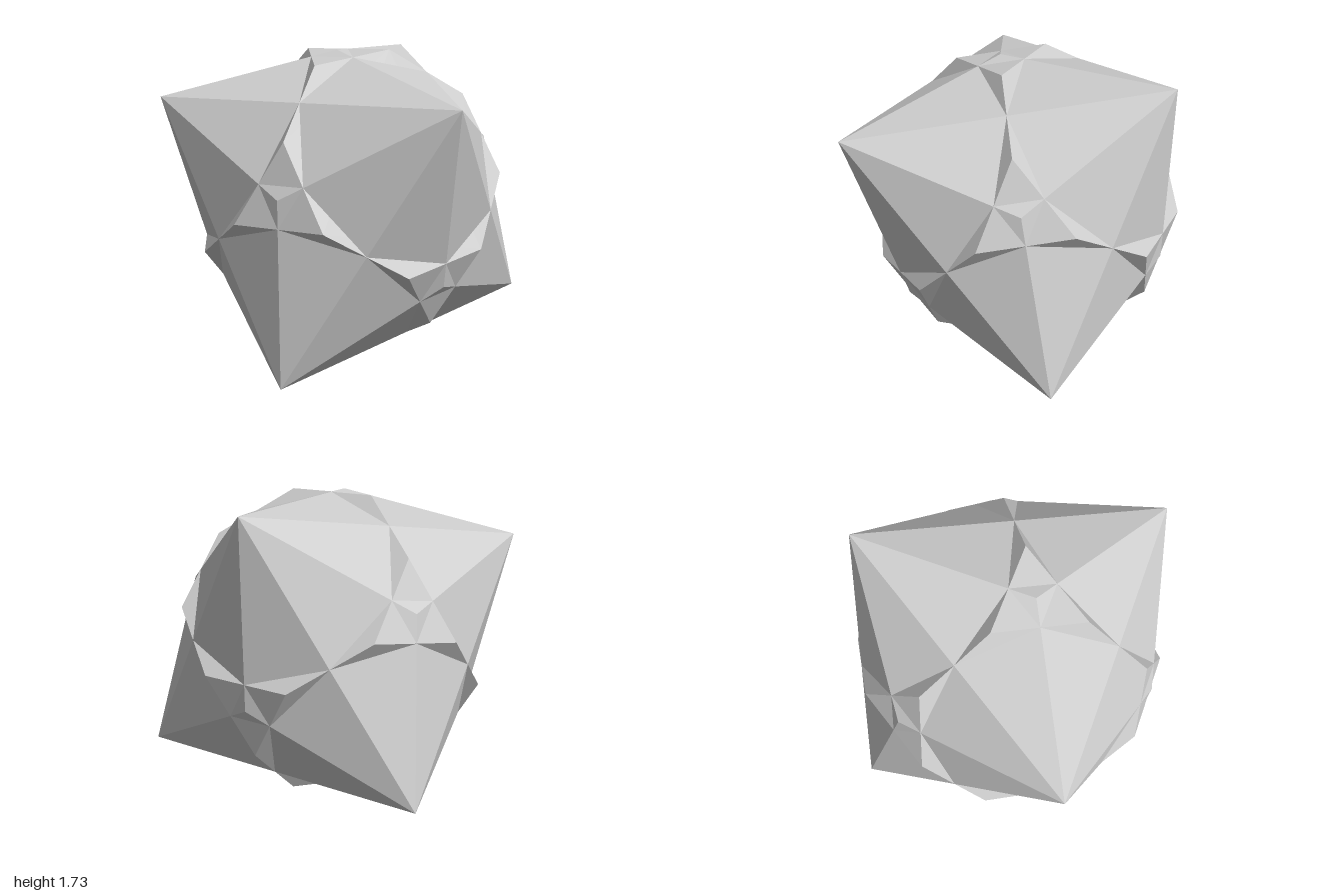
import * as THREE from 'three';
import { ConvexGeometry } from 'three/addons/geometries/ConvexGeometry.js';

const K = Math.SQRT2 - 1;
const SIGNS = [-1, 1];

// All sign changes of one point, without duplicates for zero coordinates
function mirrored(x, y, z) {
  const points = [];
  for (const i of x ? SIGNS : [1])
    for (const j of y ? SIGNS : [1])
      for (const k of z ? SIGNS : [1]) points.push(new THREE.Vector3(i * x, j * y, k * z));
  return points;
}

// The three cyclic positions of a coordinate triple, mirrored through every axis
const cyclic = (x, y, z) => [...mirrored(x, y, z), ...mirrored(y, z, x), ...mirrored(z, x, y)];

export function createModel() {
  const group = new THREE.Group();
  group.name = 'polyhedronCompound';
  const material = new THREE.MeshStandardMaterial({ color: 0xcccccc, flatShading: true });

  // Tilt: one truncated-cube corner points to the front, an edge lies on the ground
  const front = new THREE.Vector3(-1, K, 1).normalize();
  const up = new THREE.Vector3(-0.5, 0.5, -Math.SQRT1_2);
  const side = new THREE.Vector3().crossVectors(up, front);
  const scale = 1 / (2 * side.y);
  const placement = new THREE.Matrix4().makeTranslation(0, Math.SQRT2 * scale, 0)
    .multiply(new THREE.Matrix4().makeScale(scale, scale, scale))
    .multiply(new THREE.Matrix4().makeBasis(side, up, front).transpose());

  function addSolid(name, points) {
    const geometry = new ConvexGeometry(points).applyMatrix4(placement);
    geometry.computeVertexNormals();
    const mesh = new THREE.Mesh(geometry, material);
    mesh.name = name;
    group.add(mesh);
  }

  // Cube with its corners cut so that every face is a regular octagon
  addSolid('truncatedCube', cyclic(1, 1, K));

  // Its dual: an octahedron with a low pyramid on each face, crossing at edge midpoints
  addSolid('triakisOctahedron', [...cyclic(2, 0, 0), ...mirrored(2 * K, 2 * K, 2 * K)]);

  return group;
}
